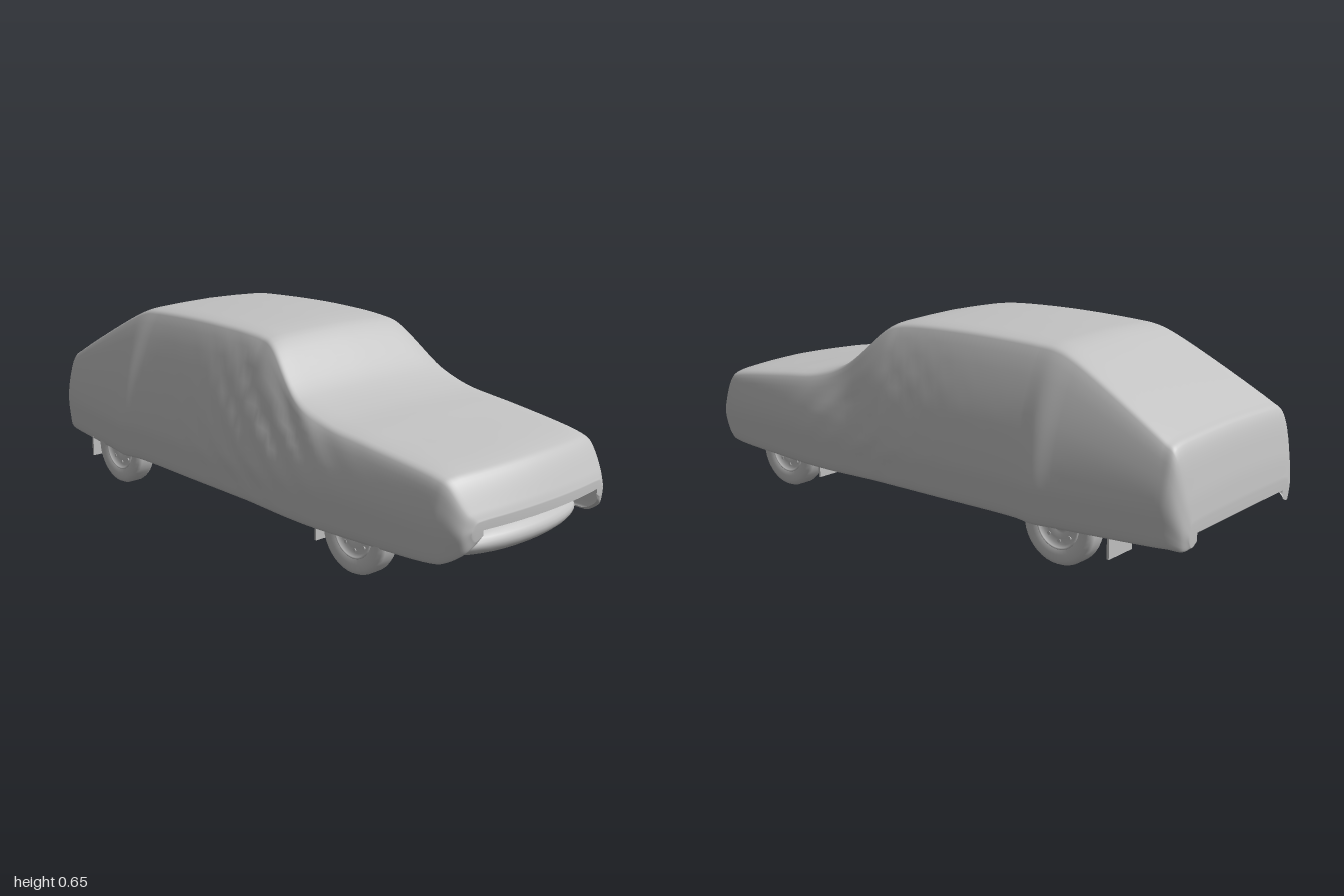
import * as THREE from 'three';

const fabric = new THREE.MeshStandardMaterial({ color: 0xc2c2c2, side: THREE.DoubleSide });
fabric.name = 'plain grey';

// Stations, nose to tail: z, hem y, widest half-width, shoulder half-width, centre-line y
const stations = [
  [0.998, 0.19, 0.30, 0.28, 0.245],
  [0.985, 0.155, 0.325, 0.305, 0.275],
  [0.935, 0.118, 0.35, 0.328, 0.357],
  [0.90, 0.112, 0.36, 0.333, 0.372],
  [0.60, 0.11, 0.388, 0.345, 0.412],
  [0.42, 0.11, 0.40, 0.345, 0.437],
  [0.30, 0.11, 0.397, 0.335, 0.482],
  [0.14, 0.113, 0.39, 0.288, 0.617],
  [0.09, 0.114, 0.39, 0.281, 0.632],
  [-0.15, 0.117, 0.39, 0.279, 0.645],
  [-0.46, 0.12, 0.39, 0.273, 0.639],
  [-0.53, 0.12, 0.402, 0.274, 0.632],
  [-0.60, 0.12, 0.39, 0.278, 0.607],
  [-0.92, 0.128, 0.352, 0.308, 0.437],
  [-0.953, 0.128, 0.342, 0.308, 0.415],
  [-0.985, 0.12, 0.316, 0.295, 0.295],
  [-0.998, 0.128, 0.287, 0.275, 0.20],
];

// Half of a cross-section, hem to centre line
function halfSection([z, yb, wm, wt, yc]) {
  const crown = Math.min(0.026, (yc - yb) * 0.13);
  const ye = yc - crown, ym = Math.min(0.25, (yb + ye) / 2), wb = wm - 0.015, h = ye - ym;
  const pts = [
    [wb - 0.025, yb + 0.012], [wb, yb], [wm - 0.003, yb + (ym - yb) * 0.5], [wm, ym],
    [wm + (wt - wm) * 0.42 + h * 0.03, ym + h * 0.5], [wt, ye],
    [wt - 0.022, ye + crown * 0.5], [wt * 0.55, yc - crown * 0.16], [0, yc],
  ].map(([x, y]) => new THREE.Vector3(x, y, z));
  return new THREE.CatmullRomCurve3(pts).getPoints(32);
}

// Soft cover lofted through the stations, bowed at the nose, with diagonal folds
function coverGeometry() {
  const halves = stations.map(halfSection);
  const n = halves[0].length, steps = 8 * (stations.length - 1);
  const rows = halves[0].map((_, j) =>
    new THREE.CatmullRomCurve3(halves.map(s => s[j])).getPoints(steps));
  const gauss = (v, w) => Math.exp(-(v * v) / (w * w));
  for (const row of rows) for (const p of row) {
    const folds = gauss(p.z - 0.13, 0.25) * gauss(p.y - 0.38, 0.15) * Math.sin((p.z + 1.1 * p.y) * 48);
    const hollow = gauss(p.z - 0.27, 0.1) * gauss(p.y - 0.38, 0.1);
    if (p.x > 0.2) p.x += 0.006 * folds - 0.008 * hollow;
    if (p.z > 0.6) p.z -= 0.035 * (p.x / 0.33) ** 2 * THREE.MathUtils.smoothstep(p.z, 0.6, 0.95);
  }
  const cols = 2 * n - 1, pos = [], index = [];
  const addRing = (i, flatY) => {
    for (let j = 0; j < cols; j++) {
      const p = rows[j < n ? j : cols - 1 - j][i];
      pos.push(j < n ? p.x : -p.x, flatY ?? p.y, p.z);
    }
  };
  addRing(0, 0.217); // closes the nose
  for (let i = 0; i <= steps; i++) addRing(i);
  addRing(steps, 0.165); // closes the tail
  for (let i = 0; i < steps + 2; i++) for (let j = 0; j < cols - 1; j++) {
    const a = i * cols + j, b = a + cols;
    index.push(a, b, a + 1, b, b + 1, a + 1);
  }
  const g = new THREE.BufferGeometry();
  g.setAttribute('position', new THREE.Float32BufferAttribute(pos, 3));
  g.setIndex(index);
  g.computeVertexNormals();
  return g;
}

function add(parent, name, geometry, x = 0, y = 0, z = 0) {
  const m = new THREE.Mesh(geometry, fabric);
  m.name = name;
  m.position.set(x, y, z);
  parent.add(m);
  return m;
}
const box = (w, h, d) => new THREE.BoxGeometry(w, h, d);

function rod(parent, name, r, ...points) {
  const curve = new THREE.CatmullRomCurve3(points.map(p => new THREE.Vector3(...p)));
  add(parent, name, new THREE.TubeGeometry(curve, points.length > 2 ? 32 : 1, r, 10));
}

// Wheel with its outer face toward +x
function wheel() {
  const g = new THREE.Group();
  g.name = 'wheel';
  const lathe = pts => new THREE.LatheGeometry(pts.map(p => new THREE.Vector2(...p)), 40).rotateZ(-Math.PI / 2);
  add(g, 'tyre', lathe([[0.076, -0.03], [0.09, -0.037], [0.108, -0.037], [0.12, -0.031], [0.125, -0.02],
    [0.125, 0.02], [0.12, 0.031], [0.108, 0.037], [0.09, 0.037], [0.076, 0.03]]));
  add(g, 'rim', lathe([[0.076, -0.03], [0.068, -0.02], [0.068, 0.01], [0.076, 0.03], [0.07, 0.031],
    [0.064, 0.016], [0.045, 0.022], [0.03, 0.014], [0.02, 0.014], [0.018, 0.026], [0, 0.027]]));
  add(g, 'brakeDrum', new THREE.CylinderGeometry(0.055, 0.055, 0.03, 28).rotateZ(Math.PI / 2), -0.015);
  for (let i = 0; i < 8; i++) {
    const a = i * Math.PI / 4;
    add(g, 'rimBoss', new THREE.CylinderGeometry(0.006, 0.006, 0.01, 8).rotateZ(Math.PI / 2),
      0.018, Math.cos(a) * 0.052, Math.sin(a) * 0.052);
  }
  return g;
}

export function createModel() {
  const model = new THREE.Group();
  model.name = 'coveredCar';
  add(model, 'cover', coverGeometry());

  // Rounded belly under the nose
  const chin = add(model, 'chin', new THREE.SphereGeometry(1, 32, 16), 0, 0.14, 0.84);
  chin.scale.set(0.31, 0.054, 0.11);

  const under = new THREE.Group();
  under.name = 'underbody';
  under.position.x = -0.005;
  model.add(under);

  // Floor pans, tanks and cross members
  add(under, 'floor', box(0.7, 0.012, 0.84), 0, 0.135, -0.02);
  add(under, 'frontFloor', box(0.48, 0.012, 0.5), 0, 0.165, 0.64);
  add(under, 'rearFloor', box(0.5, 0.012, 0.52), 0, 0.18, -0.7);
  add(under, 'rearBulkhead', box(0.7, 0.05, 0.012), 0, 0.155, -0.44);
  add(under, 'fuelTank', box(0.3, 0.04, 0.16), -0.06, 0.165, -0.84);
  add(under, 'engineSump', box(0.16, 0.05, 0.2), 0, 0.14, 0.62);
  add(under, 'gearbox', box(0.11, 0.035, 0.22), 0, 0.125, 0.4);
  add(under, 'frontCrossMember', box(0.46, 0.022, 0.04), 0, 0.125, 0.56);
  add(under, 'rearCrossMember', box(0.6, 0.02, 0.035), 0, 0.125, -0.4);

  // Exhaust line
  rod(under, 'exhaustPipe', 0.01, [0.07, 0.13, 0.55], [0.03, 0.11, 0.35], [0, 0.108, 0.1], [0, 0.112, -0.3],
    [0.08, 0.15, -0.6], [0.17, 0.14, -0.95]);
  add(under, 'frontSilencer', box(0.09, 0.022, 0.18), 0, 0.104, 0.12);
  add(under, 'rearSilencer', new THREE.CylinderGeometry(0.028, 0.028, 0.18, 20).rotateX(Math.PI / 2), 0.16, 0.15, -0.8);

  // Axle and steering
  rod(under, 'rearAxle', 0.014, [-0.3, 0.125, -0.6], [0.3, 0.125, -0.6]);
  add(under, 'differential', new THREE.SphereGeometry(0.035, 16, 12), 0, 0.13, -0.6);
  rod(under, 'steeringLink', 0.006, [-0.29, 0.12, 0.63], [0.29, 0.12, 0.63]);

  // Mirrored parts
  for (const s of [1, -1]) {
    for (const z of [0.58, -0.6]) {
      const w = wheel();
      w.position.set(s * 0.327, 0.125, z);
      if (s < 0) w.rotation.y = Math.PI;
      under.add(w);
    }
    add(under, 'frontMudFlap', box(0.115, 0.065, 0.008), s * 0.297, 0.092, 0.42);
    add(under, 'rearMudFlap', box(0.115, 0.07, 0.008), s * 0.297, 0.095, -0.775);
    add(under, 'sill', box(0.03, 0.025, 0.84), s * 0.34, 0.127, -0.02);
    add(under, 'floorRail', box(0.035, 0.014, 0.42), s * 0.19, 0.123, 0.16);
    add(under, 'floorRib', box(0.2, 0.01, 0.2), s * 0.19, 0.127, -0.25);
    add(under, 'frontRail', box(0.03, 0.025, 0.46), s * 0.22, 0.15, 0.64);
    add(under, 'rearRail', box(0.03, 0.025, 0.5), s * 0.23, 0.165, -0.68);
    rod(under, 'frontArm', 0.009, [s * 0.16, 0.12, 0.44], [s * 0.29, 0.105, 0.57]);
    rod(under, 'trailingArm', 0.009, [s * 0.22, 0.125, -0.38], [s * 0.25, 0.112, -0.6]);
    rod(under, 'rearDamper', 0.011, [s * 0.22, 0.11, -0.63], [s * 0.2, 0.21, -0.67]);
  }
  return model;
}
